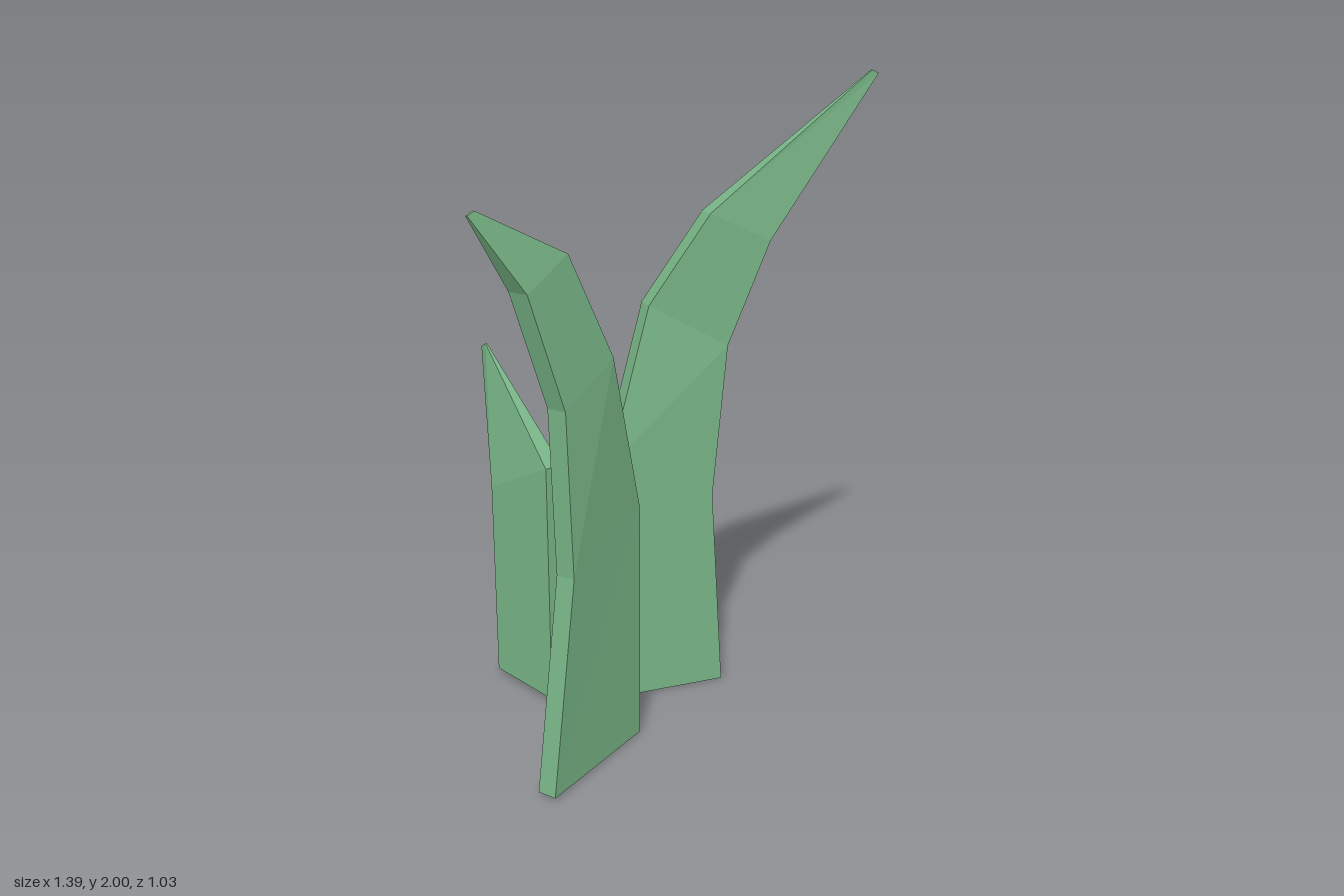
import * as THREE from 'three';

// Each blade is a row of cross-sections: front-left corner, front-right corner, thickness scale.
// "back" is the horizontal offset from the front face to the back face.
const BLADES = [
  {
    name: 'tallBlade', back: [0, -0.065], rings: [
      [[-0.2, 0, -0.06], [0.24, 0, -0.06], 1],
      [[-0.15, 0.81, -0.06], [0.2, 0.67, -0.06], 1],
      [[-0.01, 1.31, -0.077], [0.24, 1.17, -0.045], 1],
      [[0.17, 1.59, -0.03], [0.36, 1.5, -0.007], 1],
      [[0.67, 2, 0.015], [0.692, 1.99, 0.015], 0.1],
    ],
  },
  {
    name: 'middleBlade', back: [-0.036, -0.048], rings: [
      [[-0.49, 0.01, 0.445], [-0.13, 0, 0.166], 1],
      [[-0.412, 0.68, 0.42], [-0.142, 0.78, 0.206], 1],
      [[-0.432, 1.18, 0.44], [-0.265, 1.29, 0.345], 1],
      [[-0.54, 1.52, 0.488], [-0.407, 1.6, 0.41], 1],
      [[-0.691, 1.735, 0.515], [-0.67, 1.745, 0.505], 0.1],
    ],
  },
  {
    name: 'shortBlade', back: [0.055, -0.022], rings: [
      [[-0.456, 0.02, -0.35], [-0.345, 0.02, -0.086], 1],
      [[-0.456, 0.68, -0.35], [-0.345, 0.82, -0.086], 1],
      [[-0.433, 1.11, -0.514], [-0.43, 1.13, -0.468], 0.1],
    ],
  },
];

// Loft four-cornered sections into a closed, faceted blade
function bladeGeometry({ rings, back }) {
  const positions = [];
  const quad = (a, b, c, d) => positions.push(...a, ...b, ...c, ...a, ...c, ...d);
  const sections = rings.map(([left, right, s]) => {
    const behind = ([x, y, z]) => [x + back[0] * s, y, z + back[1] * s];
    return [left, right, behind(right), behind(left)];
  });
  for (let i = 0; i < sections.length - 1; i++) {
    const lo = sections[i], hi = sections[i + 1];
    for (let j = 0; j < 4; j++) {
      const k = (j + 1) % 4;
      quad(lo[j], lo[k], hi[k], hi[j]);
    }
  }
  quad(...[...sections[0]].reverse()); // underside
  quad(...sections[sections.length - 1]); // blunt tip
  const geometry = new THREE.BufferGeometry();
  geometry.setAttribute('position', new THREE.Float32BufferAttribute(positions, 3));
  geometry.computeVertexNormals();
  return geometry;
}

export function createModel() {
  const group = new THREE.Group();
  group.name = 'grassTuft';
  const green = new THREE.MeshStandardMaterial({ color: 0x78b586 });
  green.name = 'leafGreen';
  for (const blade of BLADES) {
    const mesh = new THREE.Mesh(bladeGeometry(blade), green);
    mesh.name = blade.name;
    group.add(mesh);
  }
  return group;
}
